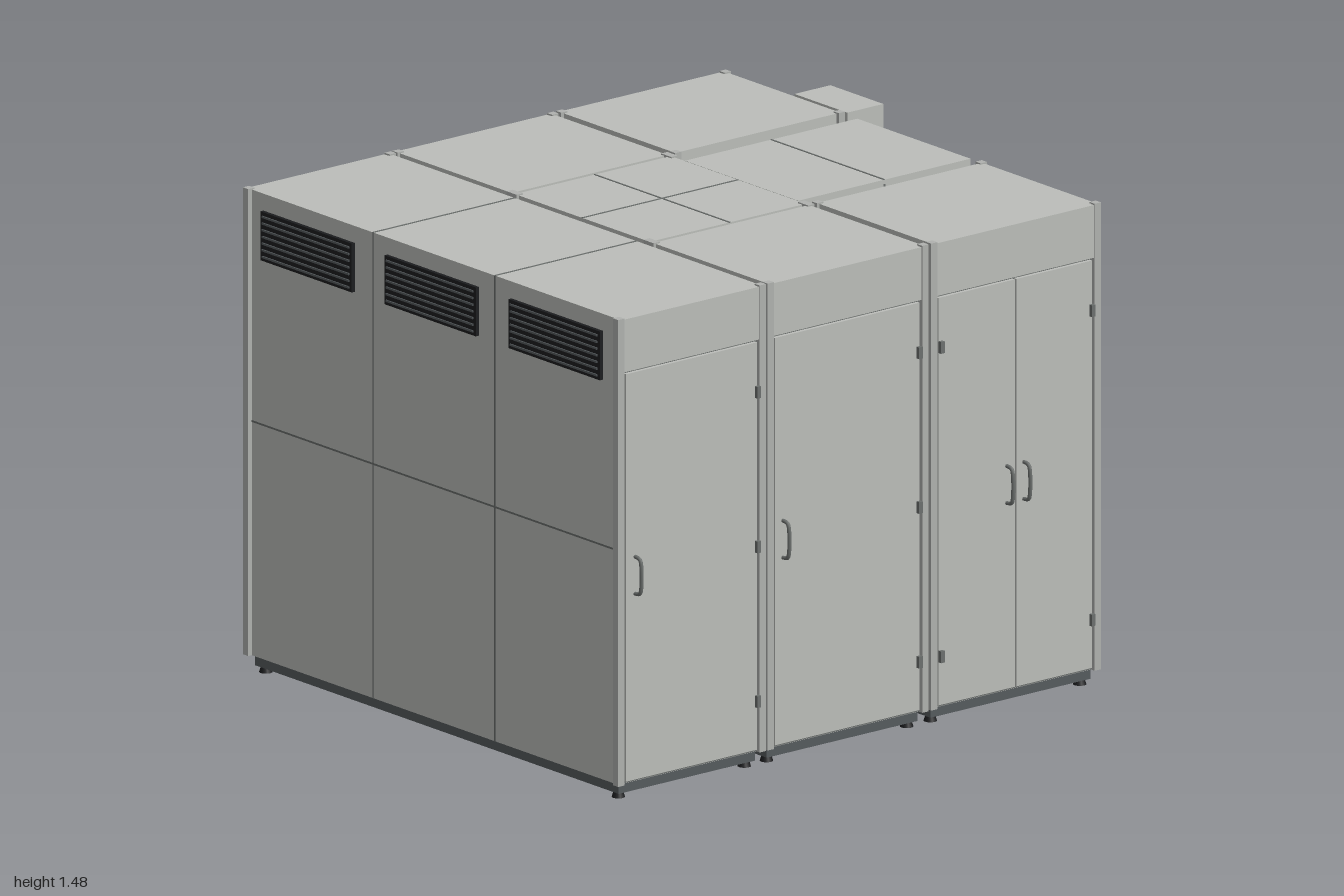
import * as THREE from 'three';

const mat = (name, color) => Object.assign(new THREE.MeshStandardMaterial({ color }), { name });

export function createModel() {
  const panel = mat('panel grey', 0xbcbeba);
  const frame = mat('frame grey', 0xb0b2af);
  const seam = mat('seam grey', 0x6c706e);
  const base = mat('base grey', 0x565b5e);
  const glass = mat('window glass', 0x545a5e);
  const screenMat = mat('screen', 0x36353c);
  const black = mat('black', 0x1c1d1f);

  const root = new THREE.Group();
  root.name = 'equipmentEnclosure';

  // Box given by its limits along each axis
  const box = (name, m, x0, x1, y0, y1, z0, z1, parent = root) => {
    const mesh = new THREE.Mesh(new THREE.BoxGeometry(x1 - x0, y1 - y0, Math.abs(z1 - z0)), m);
    mesh.position.set((x0 + x1) / 2, (y0 + y1) / 2, (z0 + z1) / 2);
    mesh.name = name;
    parent.add(mesh);
    return mesh;
  };

  const footGeo = new THREE.CylinderGeometry(0.012, 0.02, 0.025, 16);
  const TOP = 1.48, FLOOR = 0.05;

  // Cabinet body with a dark plinth and feet
  const cabinet = (name, x0, x1, z0, z1) => {
    const g = new THREE.Group();
    g.name = name;
    root.add(g);
    box('body', panel, x0, x1, FLOOR, TOP, z0, z1, g);
    box('plinth', base, x0 + 0.01, x1 - 0.01, 0.018, FLOOR, z0 + 0.01, z1 - 0.01, g);
    for (const x of [x0 + 0.03, x1 - 0.03]) for (const z of [z0 + 0.035, z1 - 0.035]) {
      const foot = new THREE.Mesh(footGeo, black);
      foot.name = 'foot';
      foot.position.set(x, 0.0125, z);
      g.add(foot);
    }
    return g;
  };

  cabinet('leftCabinet', -0.98, -0.44, -0.845, 0.845);
  cabinet('centreCabinet', -0.415, 0.18, -0.31, 0.31);
  for (const s of [1, -1]) {
    const [a, b] = s > 0 ? [0.325, 0.845] : [-0.845, -0.325];
    cabinet('middleCabinet', -0.415, 0.18, a, b);
    cabinet('rightCabinet', 0.21, 0.84, a, b);
  }

  // Corner posts
  const post = (x, z) => box('cornerPost', frame, x - 0.012, x + 0.012, FLOOR, TOP + 0.004, z - 0.012, z + 0.012);
  for (const s of [1, -1]) {
    for (const x of [-0.982, -0.442, -0.412, 0.178, 0.212, 0.836]) post(x, s * 0.85);
    for (const x of [-0.412, 0.178, 0.212, 0.836]) post(x, s * 0.326);
    for (const x of [-0.412, 0.178]) post(x, s * 0.303);
  }

  // Door leaves, headers, handles and hinges, same layout front (s = 1) and back (s = -1)
  const handle = (x, s) => {
    const curve = new THREE.CatmullRomCurve3([
      [0, 0.63, 0.855], [0, 0.635, 0.882], [0, 0.65, 0.888],
      [0, 0.725, 0.888], [0, 0.74, 0.882], [0, 0.745, 0.855],
    ].map(([dx, y, z]) => new THREE.Vector3(x + dx, y, s * z)));
    const m = new THREE.Mesh(new THREE.TubeGeometry(curve, 24, 0.006, 8), seam);
    m.name = 'handle';
    root.add(m);
  };
  const bays = [
    { header: [-0.968, -0.456], leaves: [[-0.962, -0.462]], handles: [-0.928], hinges: [-0.464], win: [-0.875, -0.525] },
    { header: [-0.398, 0.164], leaves: [[-0.395, 0.158]], handles: [-0.364], hinges: [0.153], win: [-0.315, 0.09] },
    { header: [0.226, 0.822], leaves: [[0.229, 0.521], [0.527, 0.816]], handles: [0.49, 0.555], hinges: [0.237, 0.812], win: [0.6, 0.745] },
  ];
  for (const s of [1, -1]) for (const b of bays) {
    box('backingPanel', seam, ...b.header, FLOOR + 0.002, 1.316, s * 0.845, s * 0.848);
    box('header', panel, ...b.header, 1.318, TOP, s * 0.845, s * 0.86);
    for (const l of b.leaves) box('door', panel, ...l, 0.06, 1.311, s * 0.846, s * 0.86);
    b.handles.forEach((x) => handle(x, s));
    for (const x of b.hinges) for (const y of b.hinges.length > 1 ? [0.21, 1.16] : [0.21, 0.685, 1.16]) {
      box('hinge', seam, x - 0.007, x + 0.007, y - 0.018, y + 0.018, s * 0.858, s * 0.872);
    }
    if (s < 0) box('window', glass, ...b.win, 0.85, 1.26, -0.865, -0.859);
  }

  // Panel joints on sides and roof
  const T = 0.0015;
  for (const z of [0.28, -0.28]) {
    box('sideJoint', seam, -0.98 - T, -0.979, FLOOR, TOP, z - 0.003, z + 0.003);
    box('roofJoint', seam, -0.98, -0.44, TOP - T, TOP + T, z - 0.003, z + 0.003);
  }
  box('sideJoint', seam, -0.98 - T, -0.979, 0.767, 0.773, -0.838, 0.838);
  box('roofJoint', seam, -0.415, 0.18, TOP - T, TOP + T, -0.003, 0.003);
  box('roofJoint', seam, -0.114, -0.108, TOP - T, TOP + T, -0.31, 0.31);
  for (const [a, b] of [[0.338, 0.838], [-0.838, -0.338]]) {
    box('sideJoint', seam, 0.839, 0.84 + T, 0.767, 0.773, a, b);
  }

  // Louvred vents on the left side of every cabinet
  const vent = (x, z0, z1) => {
    box('vent', black, x - 0.012, x, 1.28, 1.43, z0, z1);
    for (let i = 0; i < 7; i++) {
      const y = 1.29 + i * 0.0205;
      box('ventSlat', base, x - 0.016, x - 0.01, y, y + 0.006, z0 + 0.01, z1 - 0.01);
    }
  };
  for (const x of [-0.984, -0.415, 0.21]) {
    for (const [a, b] of [[-0.78, -0.36], [0.36, 0.78]]) vent(x, a, b);
  }
  vent(-0.984, -0.21, 0.21);
  vent(-0.415, -0.24, 0.24);

  // Centre cabinet's right face: joints and two outlined hatches
  const strip = (y0, y1, z0, z1) => box('hatchOutline', seam, 0.179, 0.183, y0, y1, z0, z1);
  for (const y of [1.18, 1.33, 0.612]) strip(y - 0.003, y + 0.003, -0.29, 0.29);
  for (const [y0, y1] of [[0.06, 0.555], [0.635, 1.172]]) {
    for (const y of [y0, y1]) strip(y - 0.003, y + 0.003, -0.135, 0.135);
    for (const z of [-0.135, 0.135]) strip(y0, y1, z - 0.003, z + 0.003);
  }

  // Open passage: roof and two thin side walls
  box('passageRoof', panel, 0.192, 0.85, 1.462, 1.475, -0.26, 0.26);
  box('roofJoint', seam, 0.518, 0.524, 1.47, 1.4765, -0.26, 0.26);
  for (const s of [1, -1]) {
    box('passageWall', panel, 0.192, 0.85, FLOOR, 1.462, s * 0.252, s * 0.26);
    for (const y of [0.35, 0.97]) box('wallJoint', seam, 0.192, 0.85, y - 0.003, y + 0.003, s * 0.251, s * 0.261);
    box('wallJoint', seam, 0.518, 0.524, FLOOR, 1.462, s * 0.251, s * 0.261);
  }

  // Control column with its screen and a dark edge strip
  box('controlColumn', panel, 0.855, 0.992, 0, TOP, -0.555, -0.312);
  box('screen', screenMat, 0.991, 1.0, 0.805, 0.99, -0.51, -0.35);
  box('edgeStrip', black, 0.846, 0.858, 0.03, 1.45, -0.312, -0.296);

  return root;
}
